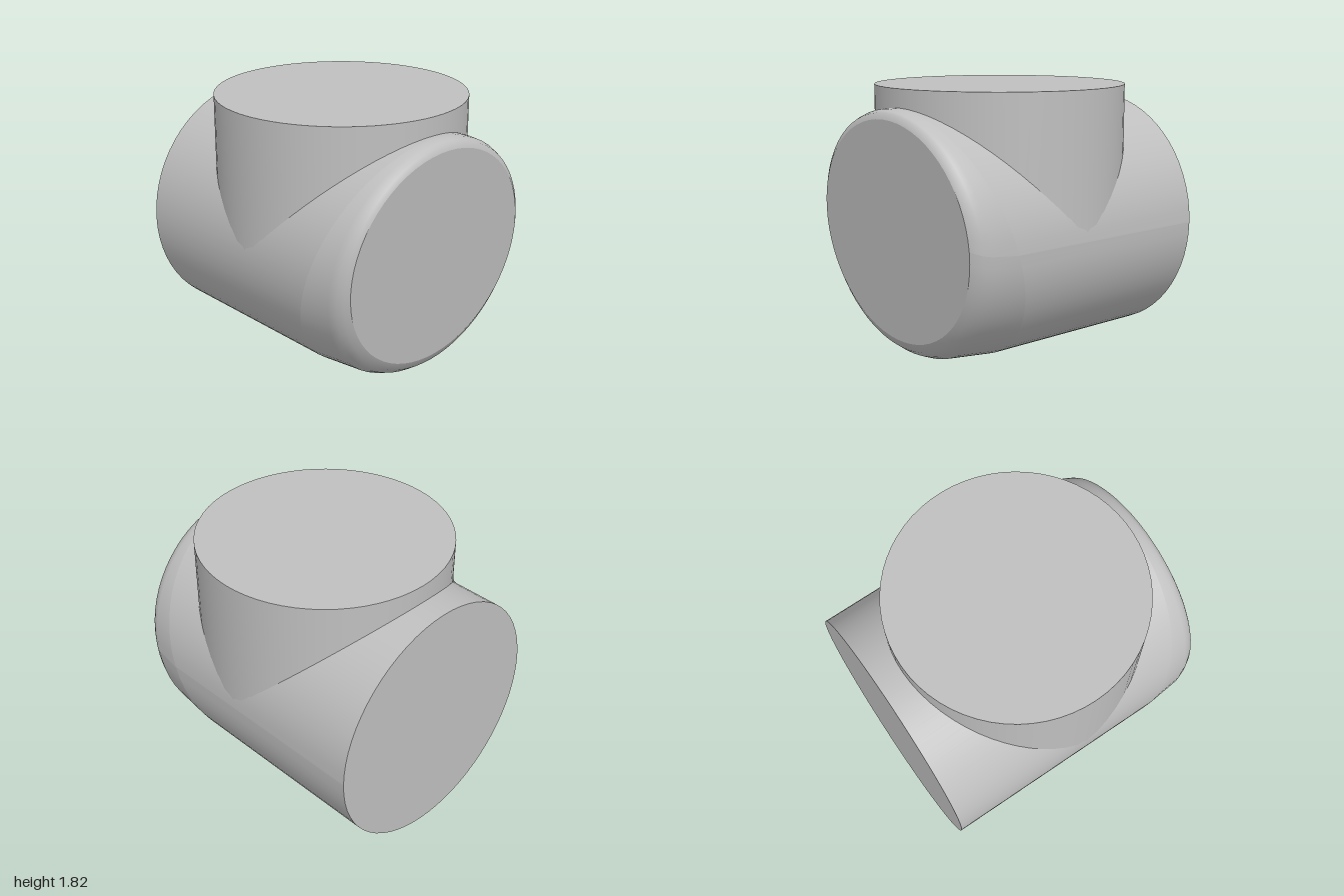
import * as THREE from 'three';

const R = 0.845, AXIS_Y = 0.853, STEM_Z = 0.02, SEGS = 64;

// Surface from a grid of points: point(i, j), i along the rows, j along the columns
function gridSurface(rows, cols, point, flip = false) {
  const pos = [], idx = [];
  for (let i = 0; i <= rows; i++) for (let j = 0; j <= cols; j++) pos.push(...point(i, j));
  for (let i = 0; i < rows; i++) for (let j = 0; j < cols; j++) {
    const a = i * (cols + 1) + j, b = a + 1, c = a + cols + 1, d = c + 1;
    if (flip) idx.push(a, c, b, b, c, d);
    else idx.push(a, b, c, b, d, c);
  }
  const g = new THREE.BufferGeometry();
  g.setAttribute('position', new THREE.Float32BufferAttribute(pos, 3));
  g.setIndex(idx);
  g.computeVertexNormals();
  return g;
}

// Slanted ring: height of centre, half width, half height, z = z0 + slope * y
function ringPoint([cy, rx, ry, z0, slope], j) {
  const t = (j / SEGS) * Math.PI * 2;
  const y = cy + ry * Math.sin(t);
  return [rx * Math.cos(t), y, z0 + slope * y];
}

export function createModel() {
  const model = new THREE.Group();
  const grey = new THREE.MeshStandardMaterial({ color: 0xbfbfbf });
  grey.name = 'grey';
  const add = (name, geometry) => {
    const mesh = new THREE.Mesh(geometry, grey);
    mesh.name = name;
    model.add(mesh);
    return mesh;
  };

  const back = [AXIS_Y, R, R, -1, 0];
  const seam = [AXIS_Y, R + 0.005, R + 0.005, 0.33, 0.335];
  const rim = [
    seam,
    [0.87, 0.83, 0.83, 0.69, 0.145],
    [0.88, 0.81, 0.81, 0.765, 0.118],
    [0.895, 0.785, 0.785, 0.82, 0.1],
    [0.905, 0.755, 0.735, 0.85, 0.092],
  ];
  const face = rim[rim.length - 1];

  // Horizontal barrel, cut on a slant at the front
  add('barrel', gridSurface(1, SEGS, (i, j) => ringPoint([back, seam][i], j)));
  // Rounded front cap
  add('frontCapRim', gridSurface(rim.length - 1, SEGS, (i, j) => ringPoint(rim[i], j)));
  // Flat ends
  const disc = (ring, flip) => gridSurface(1, SEGS, (i, j) =>
    i === 0 ? ringPoint(ring, j) : [0, ring[0], ring[3] + ring[4] * ring[0]], flip);
  add('frontFace', disc(face, false));
  add('backFace', disc(back, true));

  // Vertical stem
  const stem = new THREE.CylinderGeometry(R, R, 1.825 - AXIS_Y, SEGS);
  add('stem', stem).position.set(0, (1.825 + AXIS_Y) / 2, STEM_Z);

  // Fillets where the stem meets the barrel, front and back
  const f = 0.05, steps = 6;
  for (const side of [1, -1]) {
    const fillet = gridSurface(48, steps, (i, j) => {
      const s = (i / 48) * Math.PI, k = j / steps;
      const n = new THREE.Vector3(Math.cos(s), Math.sin(s) * (1 - k), Math.sin(s) * k).normalize();
      const c = new THREE.Vector3(Math.cos(s), Math.sin(s), Math.sin(s)).multiplyScalar(R + f);
      c.addScaledVector(n, -f);
      return [c.x, AXIS_Y + c.y, STEM_Z + side * c.z];
    }, side === 1);
    add(side === 1 ? 'frontFillet' : 'backFillet', fillet);
  }
  return model;
}
